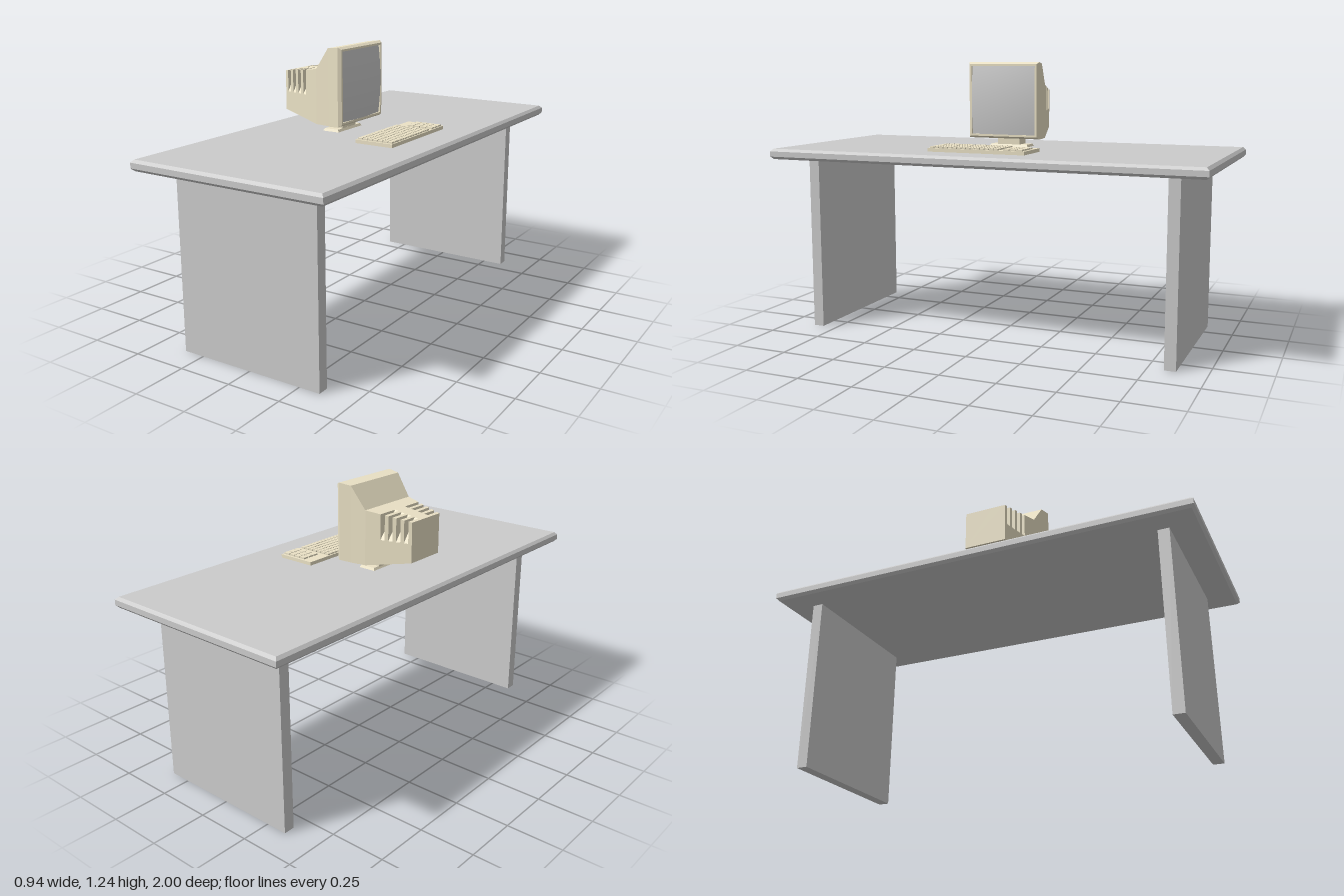
import * as THREE from 'three';

const grey = new THREE.MeshStandardMaterial({ color: 0xcccccc });
const beige = new THREE.MeshStandardMaterial({ color: 0xebe2c6, flatShading: true });

function add(parent, name, geometry, material, x = 0, y = 0, z = 0) {
  const mesh = new THREE.Mesh(geometry, material);
  mesh.name = name;
  mesh.position.set(x, y, z);
  parent.add(mesh);
  return mesh;
}

// Box given by its lower and upper corners
function boxBetween(parent, name, material, x0, x1, y0, y1, z0, z1) {
  return add(parent, name, new THREE.BoxGeometry(x1 - x0, y1 - y0, z1 - z0), material,
    (x0 + x1) / 2, (y0 + y1) / 2, (z0 + z1) / 2);
}

// Rectangular slab with a small chamfer on every edge
function chamferedSlab(w, h, d, c) {
  const x = w / 2 - c, z = d / 2 - c;
  const shape = new THREE.Shape([[-x, -z], [x, -z], [x, z], [-x, z]].map(p => new THREE.Vector2(...p)));
  const geo = new THREE.ExtrudeGeometry(shape, {
    depth: h - 2 * c, bevelThickness: c, bevelSize: c, bevelSegments: 1,
  });
  geo.translate(0, 0, c - h / 2);
  return geo.rotateX(-Math.PI / 2);
}

// Skin a row of equal-length rings, with the first and optionally the last ring capped
function loft(rings, capEnd) {
  const pos = [];
  const tri = (a, b, c) => pos.push(...a, ...b, ...c);
  const n = rings[0].length;
  for (let i = 0; i + 1 < rings.length; i++) {
    for (let j = 0; j < n; j++) {
      const k = (j + 1) % n, a = rings[i], b = rings[i + 1];
      tri(a[j], b[j], b[k]);
      tri(a[j], b[k], a[k]);
    }
  }
  const cap = (ring, flip) => {
    for (let j = 1; j + 1 < n; j++) {
      if (flip) tri(ring[0], ring[j + 1], ring[j]);
      else tri(ring[0], ring[j], ring[j + 1]);
    }
  };
  cap(rings[0], false);
  if (capEnd) cap(rings[rings.length - 1], true);
  const geo = new THREE.BufferGeometry();
  geo.setAttribute('position', new THREE.Float32BufferAttribute(pos, 3));
  geo.computeVertexNormals();
  return geo;
}

// Monitor cross-section; a vent section has its upper corners cut on a slant
function section(x, y0, y1, hw, vent = false) {
  const ySide = Math.min(1.015, y1 - 0.02), zTop = 0.035;
  const cy = vent ? (ySide + y1) / 2 : y1;
  const cz = vent ? (hw + zTop) / 2 : hw;
  return [
    [x, y0, -hw], [x, y0, hw], [x, ySide, hw], [x, cy, cz],
    [x, y1, zTop], [x, y1, -zTop], [x, cy, -cz], [x, ySide, -hw],
  ];
}

function createMonitor() {
  const monitor = new THREE.Group();
  monitor.name = 'monitor';
  monitor.position.z = 0.035;

  // Tapered rear housing, with vent slots formed by doubled sections
  const xBack = -0.345, xMid = -0.135;
  const rear = (x, vent) => {
    const t = (x - xBack) / (xMid - xBack);
    const mix = (a, b) => a + (b - a) * t;
    return section(x, mix(0.93, 0.89), mix(1.11, 1.138), mix(0.0975, 0.153), vent);
  };
  const rings = [rear(xBack)];
  for (let i = 0; i < 4; i++) {
    const a = -0.329 + i * 0.0352, b = a + 0.019;
    rings.push(rear(a), rear(a, true), rear(b, true), rear(b));
  }
  rings.push(rear(xMid));

  // Raised front housing, bezel and shallow screen recess
  rings.push(
    section(-0.063, 0.89, 1.236, 0.164),
    section(-0.005, 0.893, 1.243, 0.175),
    section(0.01, 0.902, 1.234, 0.166),
    section(0.01, 0.911, 1.225, 0.157),
    section(-0.004, 0.911, 1.225, 0.157),
  );
  add(monitor, 'monitorHousing', loft(rings, true), beige);

  // Bulging screen
  const half = 0.157;
  const screen = new THREE.PlaneGeometry(2 * half, 2 * half, 16, 16);
  const p = screen.attributes.position;
  for (let i = 0; i < p.count; i++) {
    const u = p.getX(i) / half, v = p.getY(i) / half;
    p.setZ(i, 0.021 - 0.011 * (u * u + v * v));
  }
  screen.computeVertexNormals();
  screen.rotateY(Math.PI / 2);
  add(monitor, 'screen', screen, grey, 0, 1.068, 0);

  // Stand
  boxBetween(monitor, 'standNeck', beige, -0.135, -0.062, 0.858, 0.895, -0.055, 0.055);
  const ring = (y, s) => [[-0.0975 - s, y, -0.055 - s], [-0.0975 + s, y, -0.055 - s],
    [-0.0975 + s, y, 0.055 + s], [-0.0975 - s, y, 0.055 + s]];
  add(monitor, 'standFoot', loft([ring(0.85, 0.042), ring(0.861, 0.036)], true), beige);
  return monitor;
}

function createKeyboard() {
  const keyboard = new THREE.Group();
  keyboard.name = 'keyboard';
  boxBetween(keyboard, 'keyboardBase', beige, 0.125, 0.308, 0.85, 0.866, -0.19, 0.27);

  // Grid of keys filling a rectangle
  const keyBlock = (name, x0, x1, z0, z1, rows, cols) => {
    const block = new THREE.Group();
    block.name = name;
    const dx = (x1 - x0) / rows, dz = (z1 - z0) / cols, gap = 0.004;
    const geo = new THREE.BoxGeometry(dx - gap, 0.008, dz - gap);
    for (let r = 0; r < rows; r++) {
      for (let c = 0; c < cols; c++) {
        add(block, 'key', geo, beige, x0 + (r + 0.5) * dx, 0.869, z0 + (c + 0.5) * dz);
      }
    }
    keyboard.add(block);
  };
  keyBlock('mainKeys', 0.13, 0.304, -0.067, 0.263, 7, 15);
  keyBlock('numberPad', 0.174, 0.304, -0.18, -0.088, 4, 3);
  return keyboard;
}

export function createModel() {
  const model = new THREE.Group();
  model.name = 'computerDesk';

  // Desk
  add(model, 'deskTop', chamferedSlab(0.935, 0.048, 2, 0.012), grey, 0, 0.826, 0);
  for (const s of [-1, 1]) {
    add(model, s > 0 ? 'frontLegPanel' : 'backLegPanel',
      new THREE.BoxGeometry(0.695, 0.805, 0.05), grey, 0, 0.4025, s * 0.845);
  }

  model.add(createMonitor(), createKeyboard());
  return model;
}
